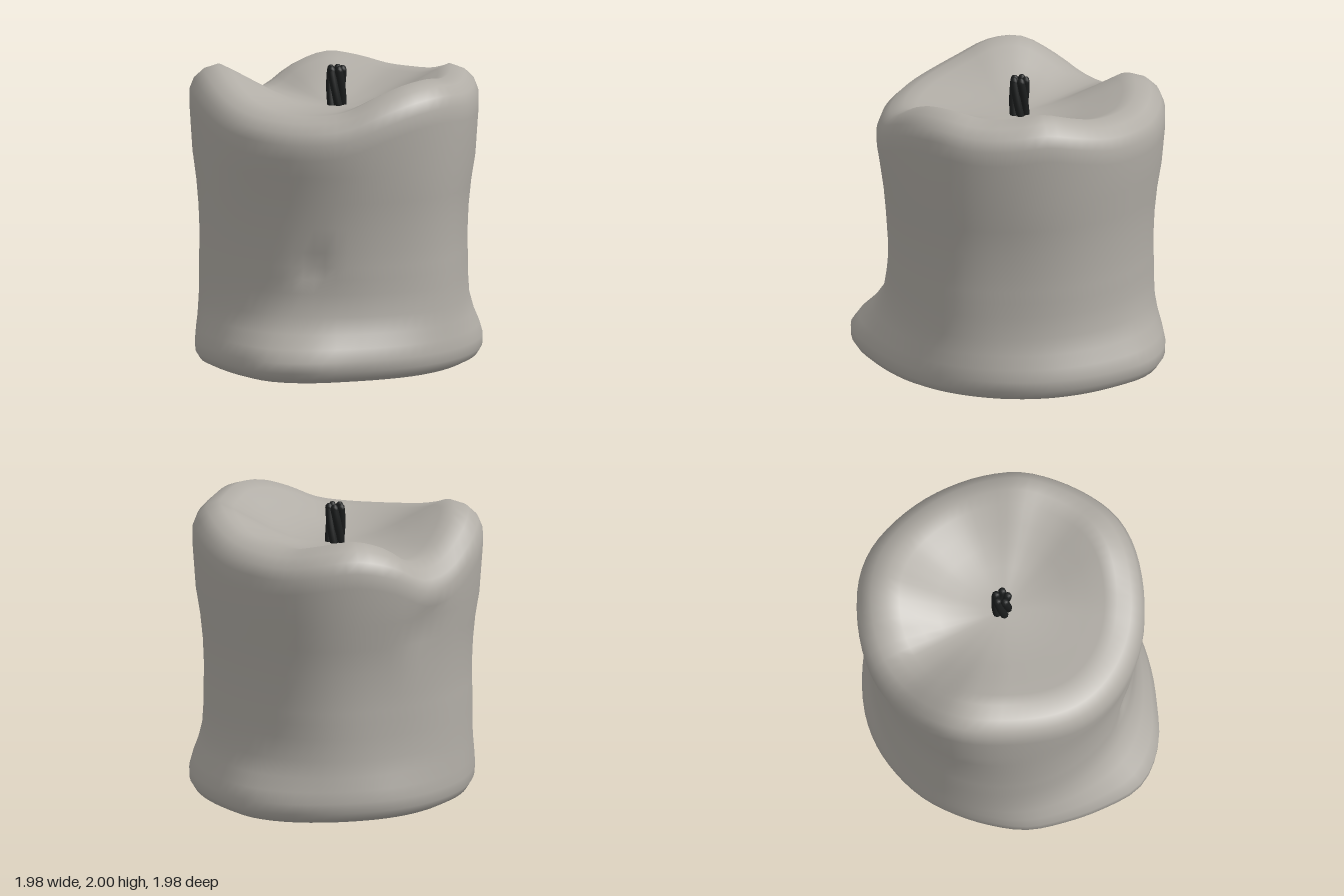
import * as THREE from 'three';

const SEGMENTS = 72;
const FLOOR = 1.73; // level of the melted pool

// Values are evenly spaced round the circle: 0 = +x, a quarter turn = +z (front).
const baseRadius = [0.99, 0.98, 0.97, 0.965, 0.97, 0.98, 0.99, 1.025, 1.1, 1.13, 1.06, 1.01,
  0.99, 0.95, 0.93, 0.93, 0.93, 0.94, 0.95, 0.96, 0.99, 1.03, 1.045, 1.01];
const waistRadius = [0.885, 0.88, 0.92, 0.88, 0.87, 0.885, 0.915, 0.92, 0.91, 0.89, 0.92, 0.9];
const topRadius = [0.95, 0.96, 0.98, 0.945, 0.94, 0.95, 0.94, 1.0, 0.97, 0.99, 1.0, 0.965];
const rimHeight = [1.95, 2.0, 1.98, 1.975, 2.0, 1.98, 1.91, 1.82, 1.79, 1.79, 1.81, 1.85,
  1.91, 1.98, 1.985, 1.88, 1.77, 1.755, 1.88, 1.945, 1.92, 1.88, 1.88, 1.9];

// Smooth periodic interpolation; t runs from 0 to 1 round the circle
function around(table, t) {
  const n = table.length;
  const i = Math.floor(t * n);
  const f = t * n - i;
  const [a, b, c, d] = [-1, 0, 1, 2].map((k) => table[(i + k + n) % n]);
  return b + 0.5 * f * (c - a + f * (2 * a - 5 * b + 4 * c - d + f * (3 * (b - c) + d - a)));
}

const mix = THREE.MathUtils.lerp;

// Outer wall: [height, blend to base, blend to top, radius scale]
const wallRings = [
  [0, 1, 0, 0.8], [0.018, 1, 0, 0.9], [0.05, 1, 0, 0.965], [0.1, 1, 0, 0.997], [0.17, 1, 0, 1],
  [0.25, 0.77, 0, 1], [0.34, 0.4, 0, 1], [0.45, 0.1, 0, 1], [0.6, 0, 0, 1], [0.7, 0, 0, 1],
  [0.78, 0, 0, 0.998], [0.88, 0, 0, 0.997], [1.05, 0, 0.06, 1], [1.22, 0, 0.28, 1], [1.4, 0, 0.65, 1],
];
// Rounded rim: [drop below the rim, radius scale]
const rimRings = [[0.27, 0.995], [0.17, 0.995], [0.095, 0.965], [0.035, 0.9], [0, 0.8]];
// Bowl: [blend to the floor, radius scale]
const bowlRings = [[0.15, 0.71], [0.4, 0.58], [0.66, 0.45], [0.88, 0.31], [1, 0.15]];

function waxGeometry() {
  const positions = [];
  const ringCount = wallRings.length + rimRings.length + bowlRings.length;
  const addRing = (rule) => {
    for (let i = 0; i < SEGMENTS; i++) {
      const t = i / SEGMENTS;
      const [r, y] = rule(t);
      positions.push(r * Math.cos(t * Math.PI * 2), y, r * Math.sin(t * Math.PI * 2));
    }
  };
  for (const [y, toBase, toTop, scale] of wallRings) {
    addRing((t) => {
      // small dent low on the front, and a shallow groove under the notch at the back
      const dent = 0.045 * Math.exp(-(((t - 0.333) / 0.015) ** 2) - ((y - 0.78) / 0.08) ** 2);
      const groove = 0.035 * Math.exp(-(((t - 0.705) / 0.022) ** 2) - ((y - 1.45) / 0.25) ** 2);
      const waist = around(waistRadius, t);
      const r = mix(mix(waist, around(baseRadius, t), toBase), around(topRadius, t), toTop);
      return [r * scale - dent - groove, y];
    });
  }
  for (const [drop, scale] of rimRings) {
    addRing((t) => [around(topRadius, t) * scale, around(rimHeight, t) - drop]);
  }
  for (const [toFloor, scale] of bowlRings) {
    addRing((t) => [around(topRadius, t) * scale, mix(around(rimHeight, t), FLOOR, toFloor)]);
  }
  // centre points of the underside and of the bowl
  const under = positions.length / 3;
  positions.push(0, 0, 0, 0, FLOOR, 0);

  const index = [];
  const last = (ringCount - 1) * SEGMENTS;
  for (let i = 0; i < SEGMENTS; i++) {
    const next = (i + 1) % SEGMENTS;
    index.push(under, i, next, under + 1, last + next, last + i);
    for (let j = 0; j < ringCount - 1; j++) {
      const low = j * SEGMENTS;
      const high = low + SEGMENTS;
      index.push(low + i, high + i, low + next, low + next, high + i, high + next);
    }
  }
  const geometry = new THREE.BufferGeometry();
  geometry.setAttribute('position', new THREE.Float32BufferAttribute(positions, 3));
  geometry.setIndex(index);
  geometry.computeVertexNormals();
  return geometry;
}

// Twisted wick made of five strands with rounded tips
function makeWick(material) {
  const wick = new THREE.Group();
  wick.name = 'wick';
  const strands = 5;
  for (let s = 0; s < strands; s++) {
    const points = [];
    for (let k = 0; k <= 8; k++) {
      const angle = (s / strands) * Math.PI * 2 + (k / 8) * 1.5;
      points.push(new THREE.Vector3(0.042 * Math.cos(angle), 1.66 + 0.3 * (k / 8), 0.042 * Math.sin(angle)));
    }
    const path = new THREE.CatmullRomCurve3(points);
    const strand = new THREE.Mesh(new THREE.TubeGeometry(path, 16, 0.028, 8), material);
    strand.name = 'wickStrand';
    const tip = new THREE.Mesh(new THREE.SphereGeometry(0.028, 8, 6), material);
    tip.name = 'wickTip';
    tip.position.copy(points[8]);
    tip.scale.y = 1.3;
    wick.add(strand, tip);
  }
  wick.position.set(0.005, 0, -0.02);
  return wick;
}

export function createModel() {
  const waxMaterial = new THREE.MeshStandardMaterial({ color: 0xb1ada6 });
  waxMaterial.name = 'wax';
  const wickMaterial = new THREE.MeshStandardMaterial({ color: 0x1c1e1e });
  wickMaterial.name = 'charredWick';

  const candle = new THREE.Group();
  candle.name = 'meltedCandle';
  const body = new THREE.Mesh(waxGeometry(), waxMaterial);
  body.name = 'waxBody';
  candle.add(body, makeWick(wickMaterial));
  return candle;
}
